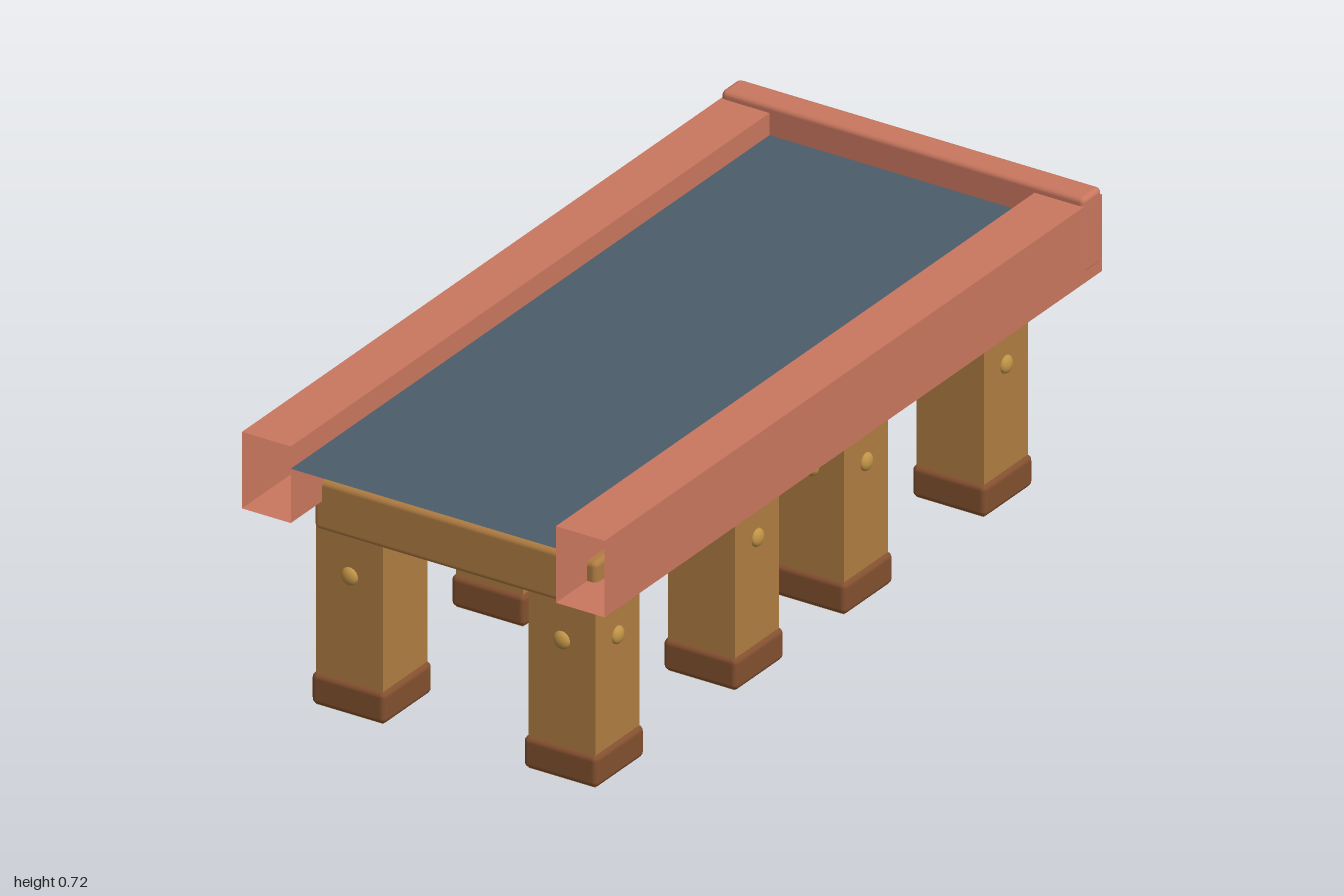
import * as THREE from 'three';
import { RoundedBoxGeometry } from 'three/addons/geometries/RoundedBoxGeometry.js';

const mat = (name, color, side = THREE.FrontSide) =>
  Object.assign(new THREE.MeshStandardMaterial({ color, side }), { name });

export function createModel() {
  const model = new THREE.Group();
  model.name = 'table';
  const rose = mat('rose trim', 0xc9775f);
  const roseShell = mat('rose rail', 0xc9775f, THREE.DoubleSide);
  const wood = mat('wood', 0xb07c42);
  const darkWood = mat('dark wood', 0x83502f);
  const brass = mat('brass', 0xc09346);
  const slate = mat('slate', 0x4b5d6b, THREE.DoubleSide);

  const add = (parent, name, geometry, material, x, y, z) => {
    const mesh = new THREE.Mesh(geometry, material);
    mesh.name = name;
    mesh.position.set(x, y, z);
    parent.add(mesh);
    return mesh;
  };
  // Rounded block given by its lower and upper corners
  const block = (parent, name, material, a, b, radius) =>
    add(parent, name,
      new RoundedBoxGeometry(b[0] - a[0], b[1] - a[1], b[2] - a[2], 2, radius), material,
      (a[0] + b[0]) / 2, (a[1] + b[1]) / 2, (a[2] + b[2]) / 2);

  // Thin table surface
  const deck = new THREE.PlaneGeometry(0.7, 1.94).rotateX(-Math.PI / 2);
  add(model, 'deck', deck, slate, 0, 0.645, 0.03);

  // Hollow side rails, open at both ends
  for (const s of [-1, 1]) {
    const rail = new THREE.BoxGeometry(0.129, 0.19, 2);
    rail.setIndex(Array.from(rail.index.array.slice(0, 24)));
    rail.clearGroups();
    add(model, s > 0 ? 'leftRail' : 'rightRail', rail, roseShell, s * 0.4145, 0.605, 0);
  }

  // Raised board across the back
  block(model, 'backBoard', rose, [-0.48, 0.53, -1], [0.48, 0.72, -0.925], 0.013);

  // Two four-legged trestles
  const boltShape = new THREE.SphereGeometry(0.022, 16, 10);
  for (const t of [-1, 1]) {
    const trestle = new THREE.Group();
    trestle.name = t > 0 ? 'frontTrestle' : 'backTrestle';
    trestle.position.z = t * 0.5;
    model.add(trestle);

    for (const sz of [-1, 1]) {
      const z = sz * 0.281;
      block(trestle, 'crossBeam', wood,
        [-0.374, 0.435, z - 0.093], [0.374, 0.56, z + 0.093], 0.014);

      for (const sx of [-1, 1]) {
        const x = sx * 0.28;
        add(trestle, 'leg', new THREE.BoxGeometry(0.177, 0.5, 0.177), wood, x, 0.25, z);
        block(trestle, 'foot', darkWood,
          [x - 0.098, 0.001, z - 0.098], [x + 0.098, 0.08, z + 0.098], 0.014);

        // Domed bolts on the two outer faces of the leg
        add(trestle, 'bolt', boltShape, brass, x, 0.342, z + sz * 0.0885).scale.z = 0.6;
        add(trestle, 'bolt', boltShape, brass, x + sx * 0.0885, 0.342, z).scale.x = 0.6;
      }
    }
    for (const sx of [-1, 1]) {
      const x = sx * 0.28;
      block(trestle, 'sideBeam', wood,
        [x - 0.088, 0.432, -0.3], [x + 0.088, 0.55, 0.3], 0.014);
    }
  }
  return model;
}
